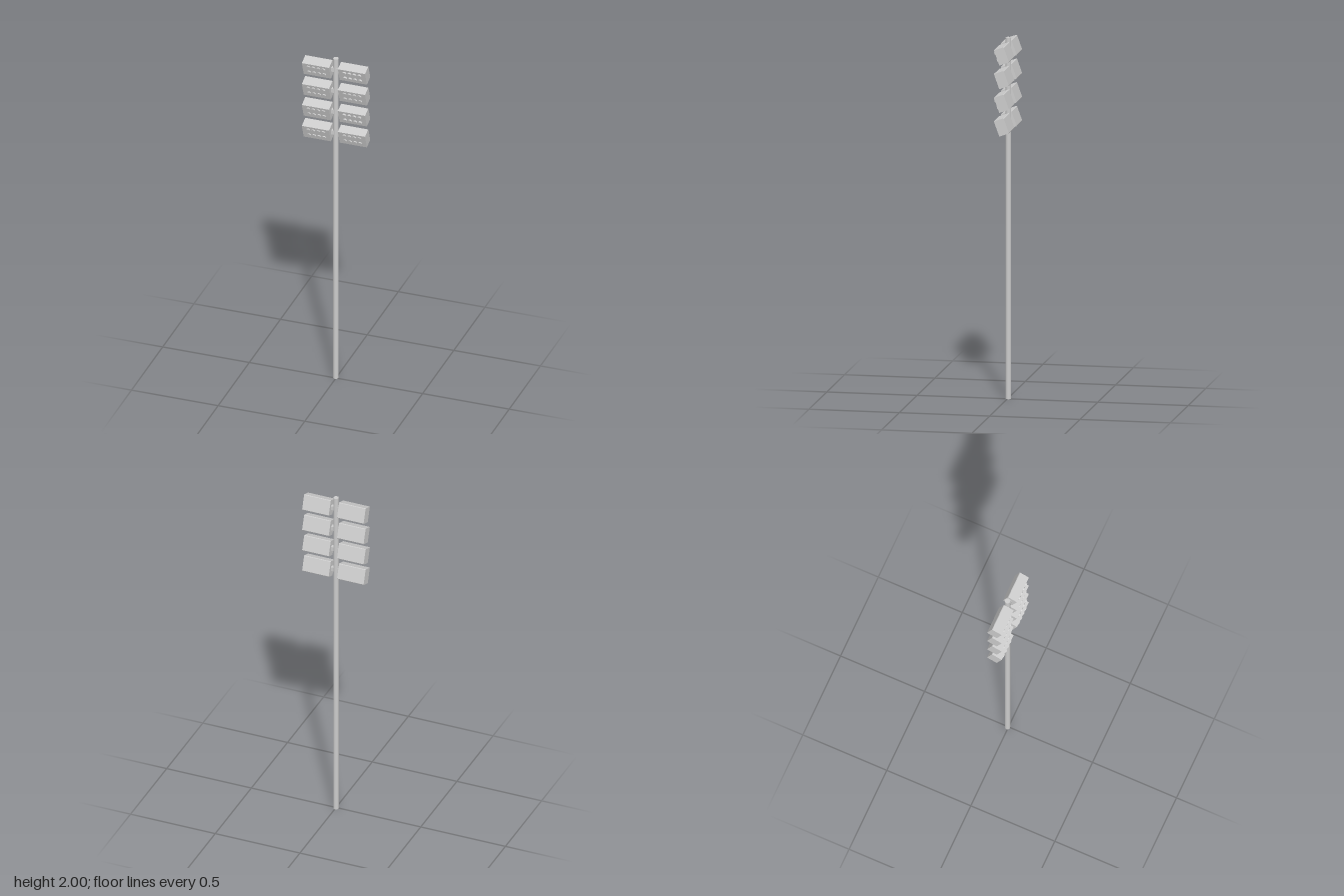
import * as THREE from 'three';

const grey = new THREE.MeshStandardMaterial({ color: 0xcccccc });

function add(parent, name, geometry, x, y, z) {
  const mesh = new THREE.Mesh(geometry, grey);
  mesh.name = name;
  mesh.position.set(x, y, z);
  parent.add(mesh);
  return mesh;
}

// Housing cross-section (depth, height) with small chamfers at the back
function housingGeometry(length, depth, height) {
  const d = depth / 2, h = height / 2, c = 0.003;
  const shape = new THREE.Shape([
    [d, -h], [d, h], [-d + c, h], [-d, h - c], [-d, -h + c], [-d + c, -h],
  ].map(([x, y]) => new THREE.Vector2(x, y)));
  return new THREE.ExtrudeGeometry(shape, { depth: length, bevelEnabled: false })
    .translate(0, 0, -length / 2)
    .rotateY(-Math.PI / 2);
}

// Floodlight: housing plus two rows of four round lamps on the front
function floodlight(side, lampDepth) {
  const light = new THREE.Group();
  const depth = side > 0 ? 0.057 : 0.062;
  add(light, 'housing', housingGeometry(0.157, depth, 0.088), 0, 0, 0);
  const lamp = new THREE.CylinderGeometry(0.0115, 0.0115, lampDepth, 16).rotateX(Math.PI / 2);
  for (const y of [0.02, -0.02]) {
    for (let i = 0; i < 4; i++) {
      add(light, 'lamp', lamp, (i - 1.5) * 0.029, y, depth / 2 + lampDepth / 2);
    }
  }
  light.rotation.x = THREE.MathUtils.degToRad(20);
  return light;
}

export function createModel() {
  const model = new THREE.Group();
  model.name = 'floodlightMast';

  // Pole
  add(model, 'pole', new THREE.CylinderGeometry(0.015, 0.015, 2, 16), -0.002, 1, -0.005);

  // Four rows of paired floodlights on short arms
  for (let row = 0; row < 4; row++) {
    const y = 1.929 - row * 0.131;
    add(model, 'crossArm', new THREE.BoxGeometry(0.054, 0.024, 0.022), 0, y + 0.002, -0.003);
    for (const side of [-1, 1]) {
      const light = floodlight(side, side > 0 && row % 2 === 0 ? 0.009 : 0.006);
      light.name = side > 0 ? 'leftFloodlight' : 'rightFloodlight';
      light.position.set(side * 0.1035, y, -0.0025);
      model.add(light);
    }
  }
  return model;
}
